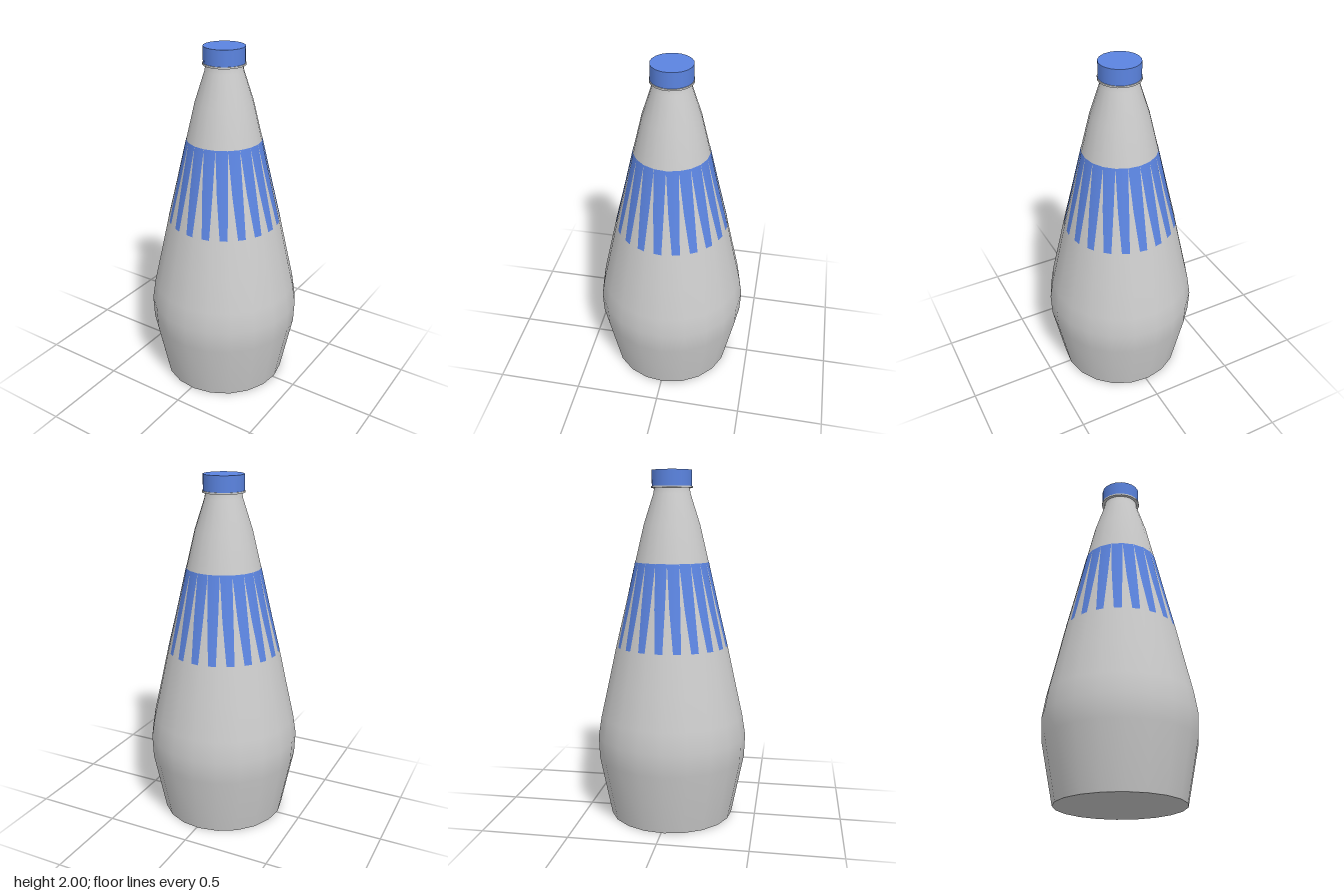
import * as THREE from 'three';

const SIDES = 20;
const STEP = (Math.PI * 2) / SIDES;
const START = THREE.MathUtils.degToRad(2.5);

// Radius and height of the bottle wall, bottom to top
const WALL = [
  [0.36, 0], [0.43, 0.35], [0.435, 0.48], [0.416, 0.6], [0.371, 0.8], [0.325, 1.01],
  [0.267, 1.25], [0.211, 1.49], [0.161, 1.7], [0.106, 1.87], [0.1, 1.905],
];

const grey = new THREE.MeshStandardMaterial({ color: 0xcccccc });
const blue = new THREE.MeshStandardMaterial({ color: 0x5b84e0 });
const blueThin = new THREE.MeshStandardMaterial({ color: 0x5b84e0, side: THREE.DoubleSide });

// Turned part; each profile is a smooth run, with a sharp edge to the next
function turned(name, material, profiles) {
  const group = new THREE.Group();
  group.name = name;
  profiles.forEach((profile, i) => {
    const points = profile.map(([r, y]) => new THREE.Vector2(r, y));
    const mesh = new THREE.Mesh(new THREE.LatheGeometry(points, SIDES, START), material);
    mesh.name = `${name}Surface${i + 1}`;
    group.add(mesh);
  });
  return group;
}

// Tapering stripes lying on the wall facets, full width at the top
function createStripes() {
  const rows = WALL.filter(([, y]) => y > 1 && y < 1.5);
  const positions = [], normals = [], index = [];
  const [yLow, yHigh] = [rows[0][1], rows[rows.length - 1][1]];
  const lift = 0.0015;
  for (let s = 0; s < SIDES; s++) {
    const a0 = START + s * STEP, a1 = a0 + STEP;
    const base = positions.length / 3;
    rows.forEach(([r, y], j) => {
      const k = (y - yLow) / (yHigh - yLow);
      const edges = [THREE.MathUtils.lerp(0.46, 0, k), THREE.MathUtils.lerp(0.89, 1, k)];
      for (const t of edges) {
        const R = r + lift, a = a0 + STEP * t;
        positions.push(
          R * THREE.MathUtils.lerp(Math.sin(a0), Math.sin(a1), t), y,
          R * THREE.MathUtils.lerp(Math.cos(a0), Math.cos(a1), t));
        const n = new THREE.Vector3(Math.sin(a), 0.235, Math.cos(a)).normalize();
        normals.push(n.x, n.y, n.z);
      }
      if (j > 0) {
        const b = base + (j - 1) * 2;
        index.push(b, b + 1, b + 3, b, b + 3, b + 2);
      }
    });
  }
  const geometry = new THREE.BufferGeometry();
  geometry.setAttribute('position', new THREE.Float32BufferAttribute(positions, 3));
  geometry.setAttribute('normal', new THREE.Float32BufferAttribute(normals, 3));
  geometry.setIndex(index);
  const mesh = new THREE.Mesh(geometry, blueThin);
  mesh.name = 'neckStripes';
  return mesh;
}

export function createModel() {
  const model = new THREE.Group();
  model.name = 'bottle';

  // Bottle wall and flat base
  model.add(turned('body', grey, [[[0, 0], [0.36, 0]], WALL]));

  // Thin ring below the cap
  model.add(turned('collar', grey, [
    [[0.1, 1.902], [0.118, 1.902]],
    [[0.118, 1.902], [0.118, 1.912]],
    [[0.118, 1.912], [0.1, 1.912]],
  ]));

  // Screw cap
  model.add(turned('cap', blue, [
    [[0.1, 1.912], [0.114, 1.912]],
    [[0.114, 1.912], [0.114, 2]],
    [[0.114, 2], [0, 2]],
  ]));

  model.add(createStripes());
  return model;
}
